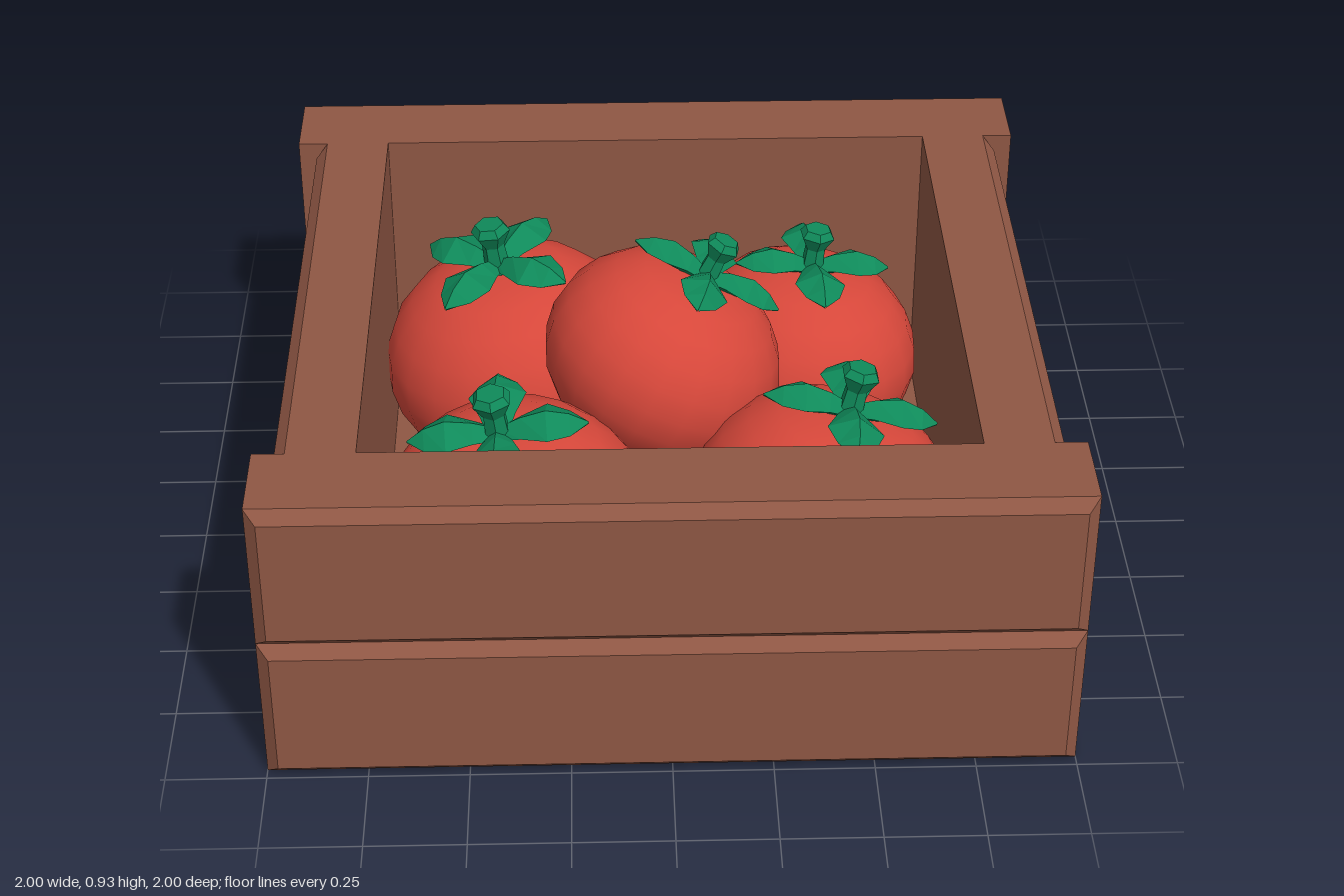
import * as THREE from 'three';

const mat = (name, color) => {
  const m = new THREE.MeshStandardMaterial({ color });
  m.name = name;
  return m;
};

const flat = (geo) => {
  const g = geo.index ? geo.toNonIndexed() : geo;
  g.computeVertexNormals();
  return g;
};

// Board whose outer (+z) face is chamfered on all four edges
function boardGeometry(w, h, d, bevel = 0.03) {
  const g = new THREE.BoxGeometry(w, h, d, 1, 1, 2);
  const p = g.attributes.position;
  for (let i = 0; i < p.count; i++) {
    const z = p.getZ(i);
    if (Math.abs(z) < 1e-4) p.setZ(i, d / 2 - bevel);
    else if (z > 0) {
      p.setX(i, Math.sign(p.getX(i)) * (w / 2 - bevel));
      p.setY(i, Math.sign(p.getY(i)) * (h / 2 - bevel));
    }
  }
  return flat(g);
}

// Body of radius 1: squashed globe with a shallow dimple on top
function fruitGeometry() {
  const pts = [];
  const n = 12;
  for (let i = 0; i <= n; i++) {
    const a = Math.PI * (1 - i / n);
    const dimple = a < 0.6 ? 0.06 * (1 - a / 0.6) : 0;
    pts.push(new THREE.Vector2(i % n ? Math.sin(a) : 0, 0.85 * Math.cos(a) - dimple));
  }
  return new THREE.LatheGeometry(pts, 20);
}

// Pointed, ridged leaf running along +z, from diamond cross-sections
function leafGeometry() {
  // z, half width, edge height, ridge height, underside height
  const sections = [
    [0.0, 0.07, 0.82, 0.88, 0.76],
    [0.17, 0.13, 0.86, 0.95, 0.77],
    [0.36, 0.21, 0.88, 0.99, 0.79],
    [0.52, 0.14, 0.85, 0.94, 0.78],
    [0.65, 0.005, 0.84, 0.85, 0.83],
  ];
  const rings = sections.map(([z, w, edge, ridge, under]) => [
    [w, edge, z], [0, ridge, z], [-w, edge, z], [0, under, z],
  ]);
  const pos = [];
  for (let i = 0; i < rings.length - 1; i++) {
    for (let k = 0; k < 4; k++) {
      const j = (k + 1) % 4;
      const a = rings[i][k], b = rings[i][j], c = rings[i + 1][j], d = rings[i + 1][k];
      pos.push(...a, ...b, ...c, ...a, ...c, ...d);
    }
  }
  const g = new THREE.BufferGeometry();
  g.setAttribute('position', new THREE.Float32BufferAttribute(pos, 3));
  return flat(g);
}

// Six-sided stem, flared at the tip
function stemGeometry() {
  const profile = [[0.1, 0.76], [0.085, 1.02], [0.15, 1.14], [0.11, 1.2], [0, 1.2]];
  return flat(new THREE.LatheGeometry(profile.map(([x, y]) => new THREE.Vector2(x, y)), 6));
}

export function createModel() {
  const model = new THREE.Group();
  model.name = 'tomatoCrate';
  const wood = mat('brown wood', 0x8f5744);
  const skin = mat('tomato red', 0xd6473a);
  const leafGreen = mat('leaf green', 0x0f8a5a);

  const add = (parent, name, geo, material) => {
    const m = new THREE.Mesh(geo, material);
    m.name = name;
    parent.add(m);
    return m;
  };

  // Crate: two stacked boards on each side, and a floor
  const crate = new THREE.Group();
  crate.name = 'crate';
  model.add(crate);
  const longBoard = boardGeometry(2, 0.4, 0.25);
  const shortBoard = boardGeometry(1.5, 0.4, 0.2);
  for (const y of [0.2, 0.6]) {
    for (const s of [1, -1]) {
      const end = add(crate, s > 0 ? 'frontBoard' : 'backBoard', longBoard, wood);
      end.position.set(0, y, s * 0.875);
      end.rotation.y = s > 0 ? 0 : Math.PI;
      const side = add(crate, s > 0 ? 'leftBoard' : 'rightBoard', shortBoard, wood);
      side.position.set(s * 0.85, y, 0);
      side.rotation.y = s * Math.PI / 2;
    }
  }
  add(crate, 'floor', new THREE.BoxGeometry(1.5, 0.04, 1.5), wood).position.y = 0.02;

  // Tomatoes: centre, radius, sideways offset of the stem tip, yaw in degrees
  const body = fruitGeometry();
  const leaf = leafGeometry();
  const stem = stemGeometry();
  const tomatoes = [
    [0, 0.57, 0, 0.32, 0.165, -0.01, -10],
    [-0.39, 0.33, 0.395, 0.355, -0.05, 0.04, 0],
    [-0.4, 0.34, -0.37, 0.36, -0.06, 0.015, -36],
    [0.39, 0.32, -0.4, 0.33, 0.045, 0, 6],
    [0.405, 0.34, 0.36, 0.35, 0.09, -0.02, 0],
  ];
  const up = new THREE.Vector3(0, 1, 0);
  for (const [x, y, z, r, dx, dz, yaw] of tomatoes) {
    const tomato = new THREE.Group();
    tomato.name = 'tomato';
    tomato.position.set(x, y, z);
    tomato.scale.setScalar(r);
    const tip = 1.2 * r;
    const axis = new THREE.Vector3(dx, Math.sqrt(tip * tip - dx * dx - dz * dz), dz).normalize();
    const spin = new THREE.Quaternion().setFromAxisAngle(up, THREE.MathUtils.degToRad(yaw));
    tomato.quaternion.setFromUnitVectors(up, axis).multiply(spin);
    add(tomato, 'tomatoBody', body, skin);
    add(tomato, 'stem', stem, leafGreen);
    for (let k = 0; k < 4; k++) add(tomato, 'leaf', leaf, leafGreen).rotation.y = k * Math.PI / 2;
    model.add(tomato);
  }
  return model;
}
